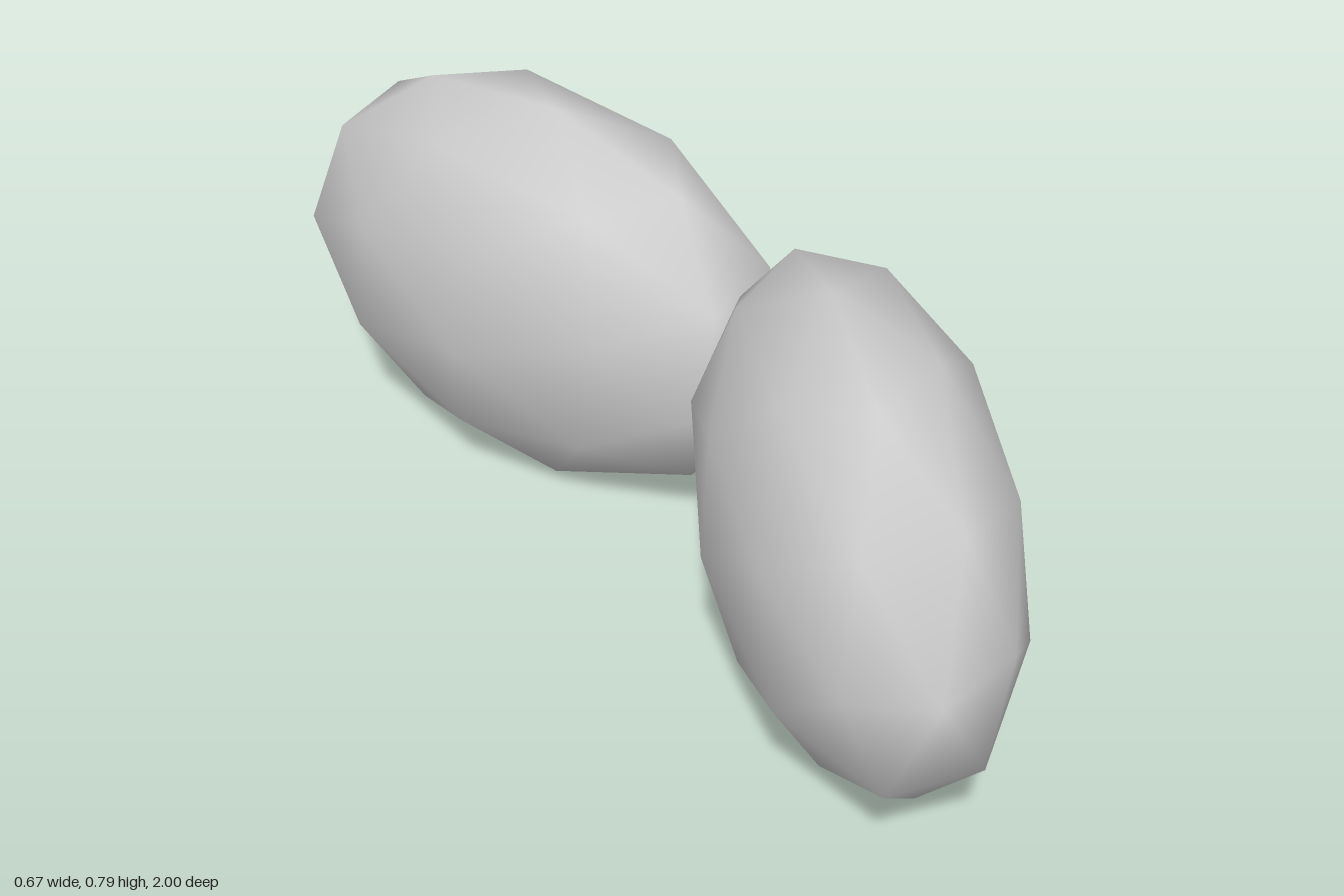
import * as THREE from 'three';

const deg = THREE.MathUtils.degToRad;

export function createModel() {
  const group = new THREE.Group();
  const material = new THREE.MeshStandardMaterial({ color: 0xcccccc });

  // One low-poly, smooth-shaded ellipsoid lobe; side is +1 for front, -1 for back
  function addLobe(name, side, x) {
    const geometry = new THREE.IcosahedronGeometry(1, 1);
    // turn the facets before squashing the sphere
    geometry.rotateZ(deg(8));
    geometry.rotateX(deg(7.3 * side));
    geometry.scale(0.567, 0.402, 0.26);
    geometry.rotateY(deg(-110.5 * side));
    const lobe = new THREE.Mesh(geometry, material);
    lobe.name = name;
    lobe.position.set(x, 0.395, 0.474 * side);
    group.add(lobe);
  }

  // Two lobes touching at the middle, splayed into a shallow V
  addLobe('frontLobe', 1, 0.04);
  addLobe('backLobe', -1, -0.036);

  return group;
}
